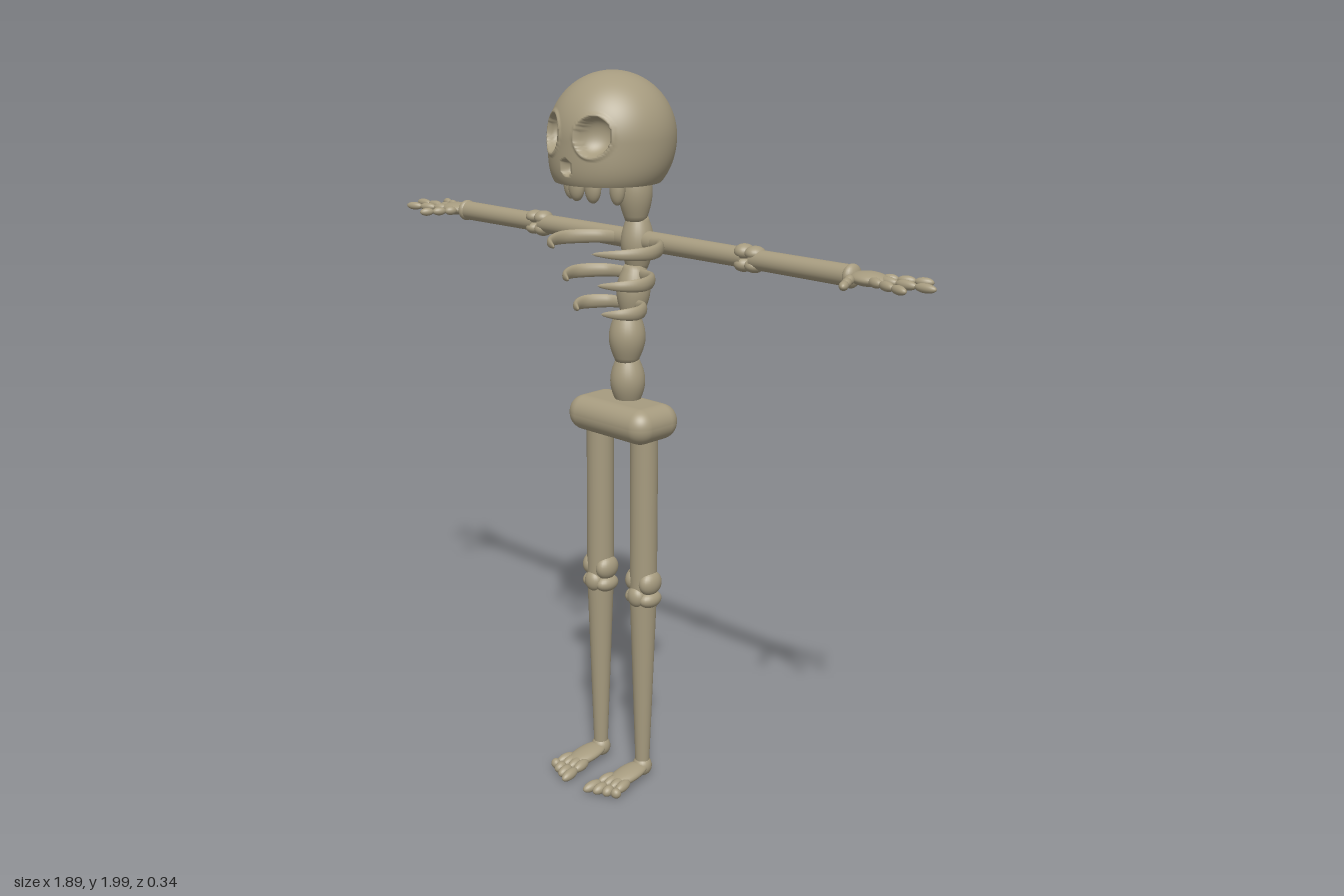
import * as THREE from 'three';
import { mergeVertices } from 'three/addons/utils/BufferGeometryUtils.js';
import { RoundedBoxGeometry } from 'three/addons/geometries/RoundedBoxGeometry.js';

const V = (x, y, z) => new THREE.Vector3(x, y, z);
const UP = V(0, 1, 0);

export function createModel() {
  const model = new THREE.Group();
  model.name = 'skeleton';
  const bone = new THREE.MeshStandardMaterial({ color: 0xa69b7f });
  bone.name = 'bone';

  const add = (name, geometry, parent = model) => {
    const mesh = new THREE.Mesh(geometry, bone);
    mesh.name = name;
    parent.add(mesh);
    return mesh;
  };
  const group = (name) => {
    const g = new THREE.Group();
    g.name = name;
    model.add(g);
    return g;
  };
  // Place a y-aligned mesh so that it spans from a to b
  const span = (mesh, a, b) => {
    mesh.position.copy(a).add(b).multiplyScalar(0.5);
    mesh.quaternion.setFromUnitVectors(UP, b.clone().sub(a).normalize());
    return mesh;
  };
  const shaft = (name, a, b, ra, rb, parent) =>
    span(add(name, new THREE.CylinderGeometry(rb, ra, a.distanceTo(b), 24), parent), a, b);
  const bead = (name, a, b, r, parent) => {
    const g = new THREE.SphereGeometry(1, 20, 14).scale(r, a.distanceTo(b) / 2, r);
    return span(add(name, g, parent), a, b);
  };
  const blob = (name, p, rx, ry, rz, parent) => {
    const mesh = add(name, new THREE.SphereGeometry(1, 24, 16).scale(rx, ry, rz), parent);
    mesh.position.copy(p);
    return mesh;
  };

  // Skull: sphere cut flat below, widened toward the jaw, with sunken sockets
  const R = 0.167, CUT = 0.113, skull = group('skull');
  skull.position.y = 1.833;
  const shapeSkull = (geometry) => {
    geometry.deleteAttribute('uv');
    geometry.deleteAttribute('normal');
    const g = mergeVertices(geometry, 1e-5), pos = g.attributes.position;
    for (let i = 0; i < pos.count; i++) {
      let x = pos.getX(i), z = pos.getZ(i);
      const y = pos.getY(i), rho = Math.hypot(x, z) || 1;
      const t = Math.max(0, -y / CUT);
      const f = 1 + 0.13 * t * t * (1 + z / rho);
      x *= f;
      z *= f;
      if (z > 0 && y > -CUT + 0.005) {
        const eye = Math.hypot((Math.abs(x) - 0.073) / 0.041, (y - 0.014) / 0.048);
        const nose = Math.hypot(x / 0.017, (y + 0.066) / 0.021);
        if (eye < 1) z -= 0.05 * Math.sqrt(1 - eye * eye);
        else if (eye < 1.25) z += 0.004 * Math.sin((eye - 1) / 0.25 * Math.PI);
        if (nose < 1) z -= 0.03 * Math.sqrt(1 - nose * nose);
      }
      pos.setXYZ(i, x, y, z);
    }
    g.computeVertexNormals();
    return g;
  };
  add('cranium', shapeSkull(new THREE.SphereGeometry(R, 180, 100, 0, Math.PI * 2, 0, Math.acos(-CUT / R))), skull);
  const baseRadius = Math.sqrt(R * R - CUT * CUT);
  add('skullBase', shapeSkull(new THREE.CircleGeometry(baseRadius, 180).rotateX(Math.PI / 2).translate(0, -CUT, 0)), skull);
  for (const s of [-1, 1]) {
    blob('frontTooth', V(s * 0.03, -0.121, 0.1), 0.024, 0.04, 0.019, skull);
    blob('sideTooth', V(s * 0.085, -0.121, 0.067), 0.022, 0.043, 0.019, skull);
  }

  // Spine: barrel vertebrae [bottom, top, radius, z at bottom, z at top]
  const spine = group('spine');
  const vertebrae = [
    [1.105, 1.235, 0.048, -0.06, -0.058],
    [1.225, 1.36, 0.05, -0.055, -0.058],
    [1.35, 1.485, 0.046, -0.074, -0.086],
    [1.475, 1.615, 0.045, -0.094, -0.095],
    [1.605, 1.76, 0.046, -0.088, -0.083],
  ];
  for (const [y0, y1, r, z0, z1] of vertebrae) {
    const h = y1 - y0, profile = [new THREE.Vector2(0, -h / 2)];
    for (let i = 0; i <= 12; i++) {
      const k = i / 12;
      profile.push(new THREE.Vector2(r * (0.62 + 0.38 * Math.sin(Math.PI * k)), (k - 0.5) * h));
    }
    profile.push(new THREE.Vector2(0, h / 2));
    span(add('vertebra', new THREE.LatheGeometry(profile, 28), spine), V(0, y0, z0), V(0, y1, z1));
  }

  // Pelvis
  add('pelvis', new RoundedBoxGeometry(0.3, 0.098, 0.17, 8, 0.047)).position.set(0, 1.071, -0.04);

  // Ribs: tapering crescents, flattened sideways
  const rib = (s, y, w, zBack, zFront, parent) => {
    const d = zFront - zBack;
    const curve = new THREE.CatmullRomCurve3([
      V(s * 0.025, y, zBack), V(s * w * 0.68, y, zBack + d * 0.12), V(s * w, y, zBack + d * 0.48),
      V(s * w * 0.85, y, zBack + d * 0.78), V(s * w * 0.42, y, zFront)]);
    const rings = 32, sides = 12;
    const g = new THREE.TubeGeometry(curve, rings, 0.02, sides), pos = g.attributes.position;
    const p = new THREE.Vector3();
    for (let i = 0; i < pos.count; i++) {
      const u = Math.floor(i / (sides + 1)) / rings, c = curve.getPointAt(u);
      const k = Math.sqrt(Math.max(0, 1 - Math.pow(u, 3))) * (0.75 + 0.25 * Math.sin(Math.PI * u));
      p.fromBufferAttribute(pos, i).sub(c);
      pos.setXYZ(i, c.x + p.x * k * 0.6, y + p.y * k, c.z + p.z * k * 0.6);
    }
    g.computeVertexNormals();
    add('rib', g, parent);
  };
  const ribs = group('ribCage');

  for (const s of [-1, 1]) {
    rib(s, 1.552, 0.165, -0.09, 0.145, ribs);
    rib(s, 1.463, 0.128, -0.08, 0.11, ribs);
    rib(s, 1.382, 0.1, -0.065, 0.085, ribs);

    // Arm
    const arm = group(s > 0 ? 'leftArm' : 'rightArm');
    const A = (x, z = -0.097, y = 1.552) => V(s * x, y, z);
    shaft('upperArm', A(0.02), A(0.375), 0.027, 0.026, arm);
    shaft('forearm', A(0.405), A(0.71), 0.026, 0.027, arm);
    for (const d of [-0.016, 0.016]) {
      blob('elbowKnuckle', A(0.373, -0.097, 1.552 + d), 0.026, 0.02, 0.028, arm);
      blob('elbowKnuckle', A(0.408, -0.097, 1.552 + d), 0.026, 0.018, 0.028, arm);
    }
    blob('elbowCap', A(0.39, -0.117), 0.024, 0.022, 0.025, arm);
    blob('wrist', A(0.708), 0.018, 0.03, 0.031, arm);

    // Hand: palm and beaded fingers [base x, base z, tip x, tip z]
    blob('palm', A(0.757, -0.099), 0.052, 0.018, 0.04, arm);
    const fingers = [
      [0.775, -0.125, 0.895, -0.165], [0.785, -0.1, 0.945, -0.1],
      [0.775, -0.077, 0.91, -0.03], [0.725, -0.07, 0.775, 0.028],
    ];
    for (const [x0, z0, x1, z1] of fingers) {
      const a = A(x0, z0), b = A(x1, z1);
      for (let i = 0; i < 3; i++) {
        const from = a.clone().lerp(b, Math.max(0, i / 3 - 0.04));
        bead('fingerBone', from, a.clone().lerp(b, (i + 1) / 3), 0.0125 - i * 0.0005, arm);
      }
    }

    // Leg
    const leg = group(s > 0 ? 'leftLeg' : 'rightLeg');
    const L = (x, y, z = -0.037) => V(s * (0.085 + x), y, z);
    shaft('thigh', L(0, 0.59), L(0, 1.05), 0.038, 0.038, leg);
    shaft('shin', L(0, 0.05), L(0, 0.575), 0.02, 0.038, leg);
    for (const d of [-0.026, 0.026]) {
      blob('upperKneeKnuckle', L(d, 0.613), 0.026, 0.035, 0.038, leg);
      blob('lowerKneeKnuckle', L(d, 0.565), 0.026, 0.024, 0.038, leg);
    }
    blob('kneecap', L(0, 0.572, -0.01), 0.028, 0.03, 0.023, leg);

    // Foot: heel, sloping instep and fanned toes
    blob('heel', L(0, 0.04), 0.028, 0.03, 0.028, leg);
    const instep = new THREE.SphereGeometry(1, 24, 16).scale(0.036, 0.075, 0.018);
    span(add('instep', instep, leg), L(0, 0.042, -0.04), L(0, 0.026, 0.085));
    for (let i = 0; i < 4; i++) {
      const k = i - 1.5, tip = 0.158 - 0.012 * i;
      const a = L(k * 0.018, 0.03, 0.045), m = L(k * 0.024, 0.024, 0.105), b = L(k * 0.028, 0.017, tip);
      bead('toeBone', a, m, 0.015, leg);
      bead('toeTip', m.clone().lerp(a, 0.15), b, 0.015, leg);
    }
  }
  return model;
}
